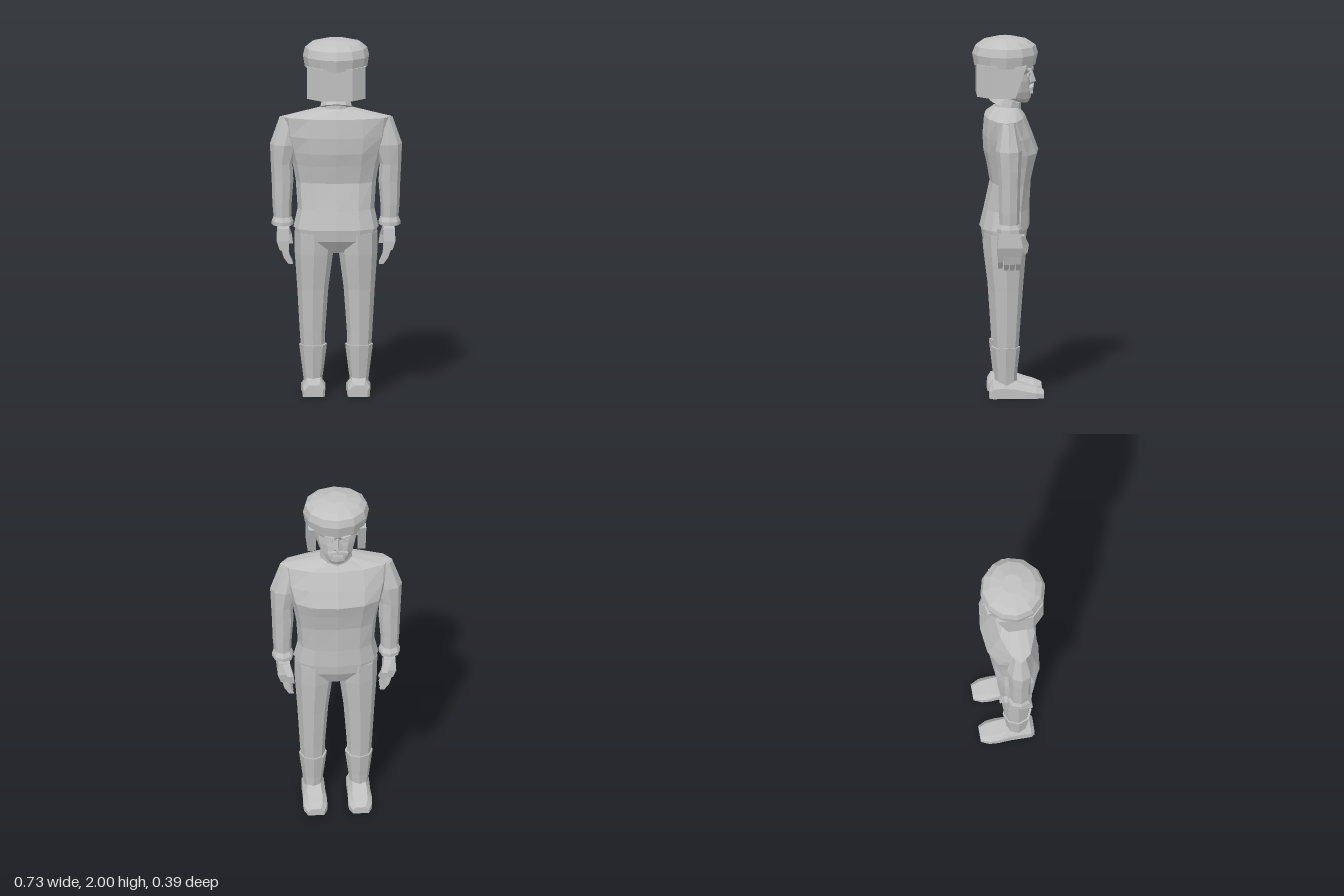
import * as THREE from 'three';

const grey = new THREE.MeshStandardMaterial({ color: 0xc0c0c0 });
grey.name = 'plain grey';

// Horizontal section: centre x, half width, z range; p < 1 is squarer, flat puts sides on the axes
function ring(y, cx, hx, z0, z1, n = 12, p = 1, flat = false) {
  const pts = [], off = flat ? Math.PI / n : 0, k = flat ? 1 / Math.cos(off) : 1;
  const bend = (v) => Math.sign(v) * Math.pow(Math.abs(v) < 1e-6 ? 0 : Math.abs(v), p);
  for (let i = 0; i < n; i++) {
    const a = (i / n) * Math.PI * 2 + off;
    pts.push(new THREE.Vector3(cx + hx * bend(Math.cos(a) * k), y,
      (z0 + z1) / 2 + ((z1 - z0) / 2) * bend(Math.sin(a) * k)));
  }
  return pts;
}

// Skin a stack of sections into a closed, faceted solid
function loft(rings) {
  const pos = [], n = rings[0].length;
  const tri = (...v) => v.forEach((q) => pos.push(q.x, q.y, q.z));
  const mid = (r) => r.reduce((s, q) => s.add(q), new THREE.Vector3()).divideScalar(n);
  const lo = rings[0], hi = rings[rings.length - 1], cl = mid(lo), ch = mid(hi);
  for (let j = 0; j < n; j++) {
    const k = (j + 1) % n;
    for (let i = 0; i + 1 < rings.length; i++) {
      const a = rings[i], b = rings[i + 1];
      tri(a[j], b[j], a[k]);
      tri(a[k], b[j], b[k]);
    }
    tri(cl, lo[j], lo[k]);
    tri(ch, hi[k], hi[j]);
  }
  const g = new THREE.BufferGeometry();
  g.setAttribute('position', new THREE.Float32BufferAttribute(pos, 3));
  g.computeVertexNormals();
  return g;
}

function mirrored(geo) {
  const g = geo.clone(), p = g.attributes.position, v = [0, 1, 2].map(() => new THREE.Vector3());
  for (let i = 0; i < p.count; i += 3) {
    v.forEach((q, k) => q.fromBufferAttribute(p, i + k));
    [v[0], v[2], v[1]].forEach((q, k) => p.setXYZ(i + k, -q.x, q.y, q.z));
  }
  g.computeVertexNormals();
  return g;
}

export function createModel() {
  const model = new THREE.Group();
  model.name = 'standingMan';
  const add = (name, geo) => {
    const g = geo.index ? geo.toNonIndexed() : geo;
    g.computeVertexNormals();
    const m = new THREE.Mesh(g, grey);
    m.name = name;
    model.add(m);
    return m;
  };
  const pair = (name, geo) => {
    const g = geo.index ? geo.toNonIndexed() : geo;
    add(name + 'Left', g);
    add(name + 'Right', mirrored(g));
  };
  const box = (w, h, d, x, y, z, roll = 0, yaw = 0) =>
    new THREE.BoxGeometry(w, h, d).rotateZ(roll).rotateY(yaw).translate(x, y, z);

  // Cap
  add('cap', loft([
    ring(1.845, 0, 0.172, -0.155, 0.182), ring(1.91, 0, 0.183, -0.17, 0.194),
    ring(1.955, 0, 0.172, -0.157, 0.177), ring(1.98, 0, 0.142, -0.12, 0.14),
    ring(2.0, 0, 0.06, -0.045, 0.065),
  ]));

  // Hair: an upright shell round the back and sides, sloping back at its front edge
  const outline = [[0.16, -0.1], [0.162, 0.1], [0.09, 0.17], [-0.09, 0.17], [-0.162, 0.1], [-0.16, -0.1],
    [-0.115, -0.1], [-0.125, 0.09], [-0.07, 0.13], [0.07, 0.13], [0.125, 0.09], [0.115, -0.1]];
  const hair = new THREE.ExtrudeGeometry(new THREE.Shape(outline.map((q) => new THREE.Vector2(...q))),
    { depth: 0.18, bevelEnabled: false }).rotateX(Math.PI / 2).translate(0, 1.86, 0);
  const hp = hair.attributes.position;
  for (let i = 0; i < hp.count; i++) if (hp.getZ(i) < 0 && hp.getY(i) < 1.7) hp.setZ(i, -0.04);
  add('hair', hair);

  // Head and face
  add('head', loft([
    ring(1.635, 0, 0.035, -0.115, -0.06), ring(1.66, 0, 0.07, -0.13, 0.02), ring(1.7, 0, 0.097, -0.133, 0.08),
    ring(1.76, 0, 0.115, -0.13, 0.12), ring(1.8, 0, 0.12, -0.122, 0.13), ring(1.83, 0, 0.122, -0.138, 0.13),
    ring(1.87, 0, 0.12, -0.135, 0.12),
  ]));
  add('nose', loft([
    ring(1.735, 0, 0.022, -0.14, -0.1, 4), ring(1.75, 0, 0.026, -0.16, -0.1, 4),
    ring(1.815, 0, 0.01, -0.138, -0.1, 4),
  ]));
  add('lips', box(0.055, 0.018, 0.02, 0, 1.695, -0.13));
  pair('moustache', box(0.055, 0.018, 0.02, 0.027, 1.722, -0.133, -0.25, -0.2));
  pair('eyebrow', box(0.055, 0.014, 0.02, 0.047, 1.825, -0.128, 0.15, -0.3));
  pair('eye', box(0.035, 0.015, 0.012, 0.045, 1.795, -0.116, 0, -0.3));

  // Neck and tilted collar
  add('neck', loft([ring(1.57, 0, 0.07, -0.055, 0.075, 10), ring(1.71, 0, 0.062, -0.07, 0.06, 10)]));
  add('collar', new THREE.CylinderGeometry(0.08, 0.092, 0.045, 10).rotateX(-0.35).translate(0, 1.637, 0.005));

  // Sweater, broad at the shoulders and flared at the hem
  add('sweater', loft([
    ring(0.945, 0, 0.235, -0.122, 0.155, 12, 0.8), ring(1.05, 0, 0.212, -0.122, 0.13, 12, 0.8),
    ring(1.2, 0, 0.222, -0.13, 0.098, 12, 0.8), ring(1.3, 0, 0.24, -0.152, 0.115, 12, 0.8),
    ring(1.37, 0, 0.26, -0.172, 0.132, 12, 0.85), ring(1.46, 0, 0.29, -0.14, 0.137, 12, 0.95),
    ring(1.565, 0, 0.31, -0.098, 0.128, 12, 1.1), ring(1.615, 0, 0.085, -0.06, 0.08),
  ]));

  // Sleeves and cuffs
  pair('sleeve', loft([
    ring(0.97, 0.295, 0.047, -0.052, 0.055, 8), ring(1.07, 0.298, 0.053, -0.055, 0.06, 8),
    ring(1.2, 0.295, 0.06, -0.058, 0.062, 8), ring(1.3, 0.3, 0.06, -0.062, 0.066, 8),
    ring(1.41, 0.285, 0.08, -0.068, 0.078, 8), ring(1.562, 0.25, 0.062, -0.035, 0.05, 8),
  ]));
  pair('cuff', loft([
    ring(0.955, 0.295, 0.06, -0.068, 0.07, 8, 0.9), ring(0.975, 0.295, 0.06, -0.068, 0.07, 8, 0.9),
    ring(1.0, 0.295, 0.05, -0.054, 0.058, 8),
  ]));

  // Hands: palm, four curled fingers and a forward thumb
  pair('palm', loft([
    ring(0.82, 0.285, 0.026, -0.065, 0.068, 4, 1, true), ring(0.87, 0.295, 0.033, -0.072, 0.07, 4, 1, true),
    ring(0.94, 0.292, 0.032, -0.06, 0.062, 4, 1, true), ring(0.98, 0.292, 0.03, -0.04, 0.042, 4, 1, true),
  ]));
  for (let i = 0; i < 4; i++) {
    const z = 0.05 - i * 0.033, drop = i === 0 ? 0.012 : 0;
    pair('finger' + (i + 1), loft([
      ring(0.735 + drop, 0.25, 0.012, z - 0.012, z + 0.012, 4, 1, true),
      ring(0.772 + drop, 0.272, 0.017, z - 0.014, z + 0.014, 4, 1, true),
      ring(0.83, 0.286, 0.02, z - 0.015, z + 0.015, 4, 1, true),
    ]));
  }
  pair('thumb', loft([
    ring(0.83, 0.248, 0.012, -0.1, -0.078, 4, 1, true), ring(0.88, 0.26, 0.017, -0.107, -0.072, 4, 1, true),
    ring(0.935, 0.28, 0.02, -0.082, -0.045, 4, 1, true),
  ]));

  // Trousers
  add('hips', loft([
    ring(0.81, 0, 0.13, -0.07, 0.09, 12, 0.8), ring(0.88, 0, 0.222, -0.105, 0.138, 12, 0.8),
    ring(0.96, 0, 0.23, -0.115, 0.15, 12, 0.8),
  ]));
  pair('trouserLeg', loft([
    ring(0.25, 0.127, 0.066, -0.055, 0.08, 8), ring(0.35, 0.13, 0.07, -0.062, 0.086, 8),
    ring(0.6, 0.128, 0.086, -0.08, 0.103, 8), ring(0.8, 0.122, 0.106, -0.097, 0.128, 8),
    ring(0.92, 0.12, 0.11, -0.1, 0.135, 8),
  ]));

  // Boots: shaft and a foot made of sections from heel to toe
  pair('bootShaft', loft([
    ring(0.06, 0.128, 0.048, -0.045, 0.07, 8), ring(0.15, 0.127, 0.06, -0.05, 0.08, 8),
    ring(0.285, 0.127, 0.077, -0.066, 0.096, 8),
  ]));
  const sections = [[-0.105, 0.05, 0.065], [-0.085, 0.062, 0.095], [-0.03, 0.062, 0.105], [0.04, 0.062, 0.095],
    [0.1, 0.067, 0.072], [0.15, 0.064, 0.058], [0.195, 0.044, 0.04]];
  const foot = loft(sections.map(([d, w, h]) =>
    [[1, 0], [1, 0.55], [0.6, 1], [-0.6, 1], [-1, 0.55], [-1, 0]].map(([a, b]) =>
      new THREE.Vector3(0.124 + w * a, d, h * b)))).rotateX(-Math.PI / 2);
  pair('foot', foot);

  return model;
}
